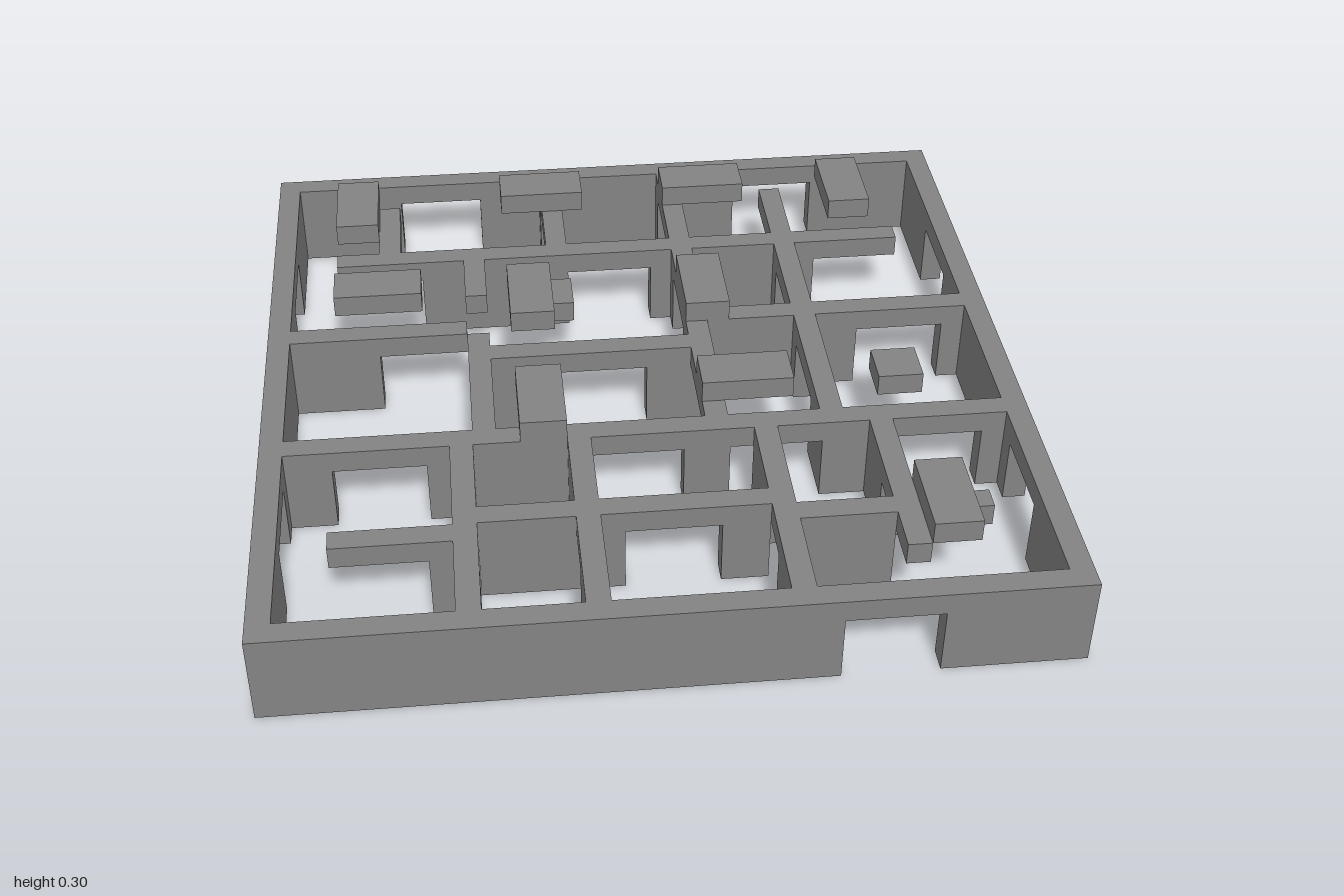
import * as THREE from 'three';

const CELLS = 33;
const U = 2 / CELLS;        // one plan cell
const WALL = 4, DOOR = 3;   // heights in cells

export function createModel() {
  const model = new THREE.Group();
  model.name = 'floorPlan';
  const grey = new THREE.MeshStandardMaterial({ color: 0x838383 });
  grey.name = 'wallGrey';

  // Block spanning plan cells x0..x1, z0..z1 and heights y0..y1
  function block(parent, name, x0, x1, z0, z1, y0, y1) {
    const mesh = new THREE.Mesh(
      new THREE.BoxGeometry((x1 - x0) * U, (y1 - y0) * U, (z1 - z0) * U), grey);
    mesh.position.set((x0 + x1) / 2 * U - 1, (y0 + y1) / 2 * U, (z0 + z1) / 2 * U - 1);
    mesh.name = name;
    parent.add(mesh);
  }

  // One-cell-thick wall along x or z, with doorways given as [from, to]
  function wall(name, axis, line, from, to, doors = []) {
    const group = new THREE.Group();
    group.name = name;
    const piece = (part, a, b, y0) => {
      if (b <= a) return;
      if (axis === 'x') block(group, part, a, b, line, line + 1, y0, WALL);
      else block(group, part, line, line + 1, a, b, y0, WALL);
    };
    let at = from;
    for (const [a, b] of doors) {
      piece('wallPanel', at, a, 0);
      piece('doorLintel', a, b, DOOR);
      at = b;
    }
    piece('wallPanel', at, to, 0);
    model.add(group);
  }

  // Outer walls
  const pair = [[6, 10], [23, 27]];
  wall('backWall', 'x', 0, 0, 33, pair);
  wall('frontWall', 'x', 32, 0, 33, [[23, 27]]);
  wall('rightWall', 'z', 0, 1, 32, pair);
  wall('leftWall', 'z', 32, 1, 32, pair);

  // Inner walls running along x: [line, from, to, doorways]
  const crossWalls = [
    [7, 3, 30, [[3, 7], [14, 18], [26, 30]]],
    [13, 1, 9, [[5, 9]]],
    [13, 20, 32, [[27, 31]]],
    [15, 10, 19, [[13, 17]]],
    [21, 1, 32, [[3, 7], [14, 18], [20, 24], [27, 31]]],
    [26, 9, 21, [[15, 19]]],
    [27, 3, 8, [[3, 7]]],
    [27, 22, 30, [[26, 30]]],
  ];
  for (const [line, a, b, doors] of crossWalls) wall('crossWall', 'x', line, a, b, doors);

  // Inner walls running along z
  const lengthWalls = [
    [5, 3, 7, [[3, 7]]],
    [13, 1, 7, [[2, 6]]],
    [19, 1, 21, [[2, 6], [9, 13], [16, 20]]],
    [24, 3, 21, [[3, 7], [9, 13], [15, 19]]],
    [9, 8, 11, [[8, 11]]],
    [9, 14, 21, [[14, 18]]],
    [8, 22, 32, [[25, 29]]],
    [13, 22, 32, [[25, 29]]],
    [21, 22, 32, [[25, 29]]],
    [26, 22, 30, [[25, 30]]],
  ];
  for (const [line, a, b, doors] of lengthWalls) wall('lengthWall', 'z', line, a, b, doors);

  // Raised slabs above the walls: [x0, x1, z0, z1]
  const slabs = [
    [3, 5, 2, 6], [11, 15, 2, 4], [19, 23, 2, 4], [27, 29, 2, 6],
    [3, 7, 10, 12], [11, 13, 10, 14], [19, 21, 10, 14],
    [11, 13, 18, 22], [19, 23, 18, 20], [27, 29, 26, 30],
  ];
  for (const s of slabs) block(model, 'raisedSlab', ...s, WALL, WALL + 1);

  // Lower square blocks at lintel height
  for (const s of [[27, 29, 17, 19], [12, 14, 10, 12]]) block(model, 'lowBlock', ...s, DOOR, WALL);

  return model;
}
